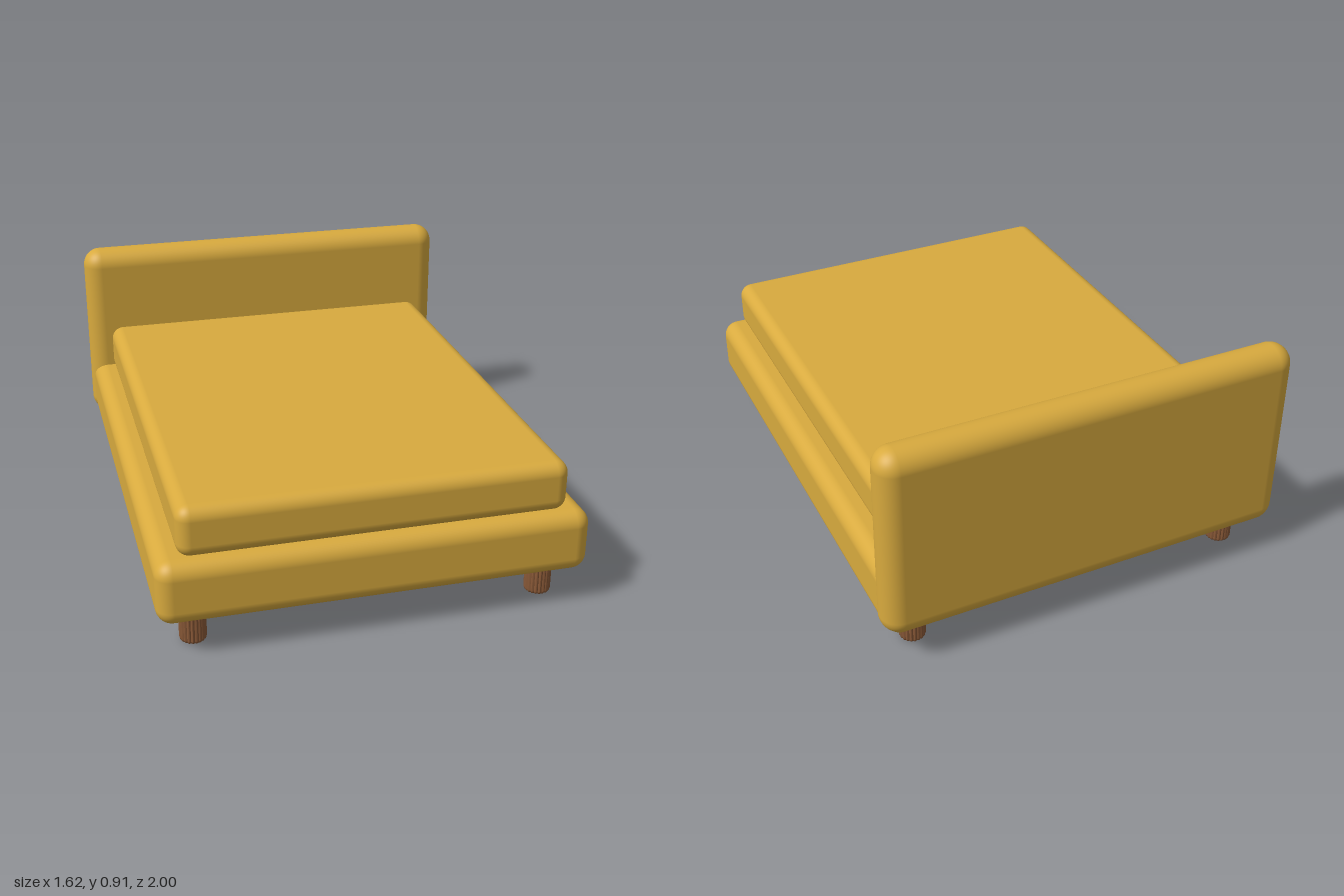
import * as THREE from 'three';
import { toCreasedNormals } from 'three/addons/utils/BufferGeometryUtils.js';
import { RoundedBoxGeometry } from 'three/addons/geometries/RoundedBoxGeometry.js';

const fabric = new THREE.MeshStandardMaterial({ color: 0xd8aa3e });
fabric.name = 'mustardFabric';
const wood = new THREE.MeshStandardMaterial({ color: 0x8b5a38 });
wood.name = 'brownWood';

// Soft upholstered block given by its extents on each axis
function cushion(name, [x0, x1], [y0, y1], [z0, z1], radius) {
  const geometry = new RoundedBoxGeometry(x1 - x0, y1 - y0, z1 - z0, 6, radius);
  const mesh = new THREE.Mesh(geometry, fabric);
  mesh.position.set((x0 + x1) / 2, (y0 + y1) / 2, (z0 + z1) / 2);
  mesh.name = name;
  return mesh;
}

// Round leg with vertical reeds and a softened foot
function reededLegGeometry() {
  const reeds = 20;
  const profile = [
    [0, 0], [0.041, 0], [0.046, 0.003], [0.049, 0.008], [0.05, 0.014], [0.05, 0.16], [0, 0.16],
  ].map(([r, y]) => new THREE.Vector2(r, y));
  const geometry = new THREE.LatheGeometry(profile, reeds * 6);
  const pos = geometry.attributes.position;
  for (let i = 0; i < pos.count; i++) {
    const x = pos.getX(i), z = pos.getZ(i);
    const groove = 1 - Math.abs(Math.sin(Math.atan2(z, x) * reeds / 2));
    const scale = 1 - 0.09 * groove;
    pos.setX(i, x * scale);
    pos.setZ(i, z * scale);
  }
  return toCreasedNormals(geometry, 0.7);
}

export function createModel() {
  const bed = new THREE.Group();
  bed.name = 'bed';

  bed.add(
    cushion('base', [-0.8, 0.8], [0.135, 0.38], [-0.995, 1], 0.06),
    cushion('mattress', [-0.717, 0.717], [0.375, 0.57], [-0.855, 0.96], 0.05),
    cushion('headboard', [-0.812, 0.812], [0.135, 0.91], [-1, -0.85], 0.073),
  );

  // Four legs
  const legGeometry = reededLegGeometry();
  for (const [end, z] of [['front', 0.86], ['back', -0.847]]) {
    for (const [side, x] of [['Left', 0.66], ['Right', -0.66]]) {
      const leg = new THREE.Mesh(legGeometry, wood);
      leg.name = `${end}${side}Leg`;
      leg.position.set(x, 0, z);
      bed.add(leg);
    }
  }
  return bed;
}
